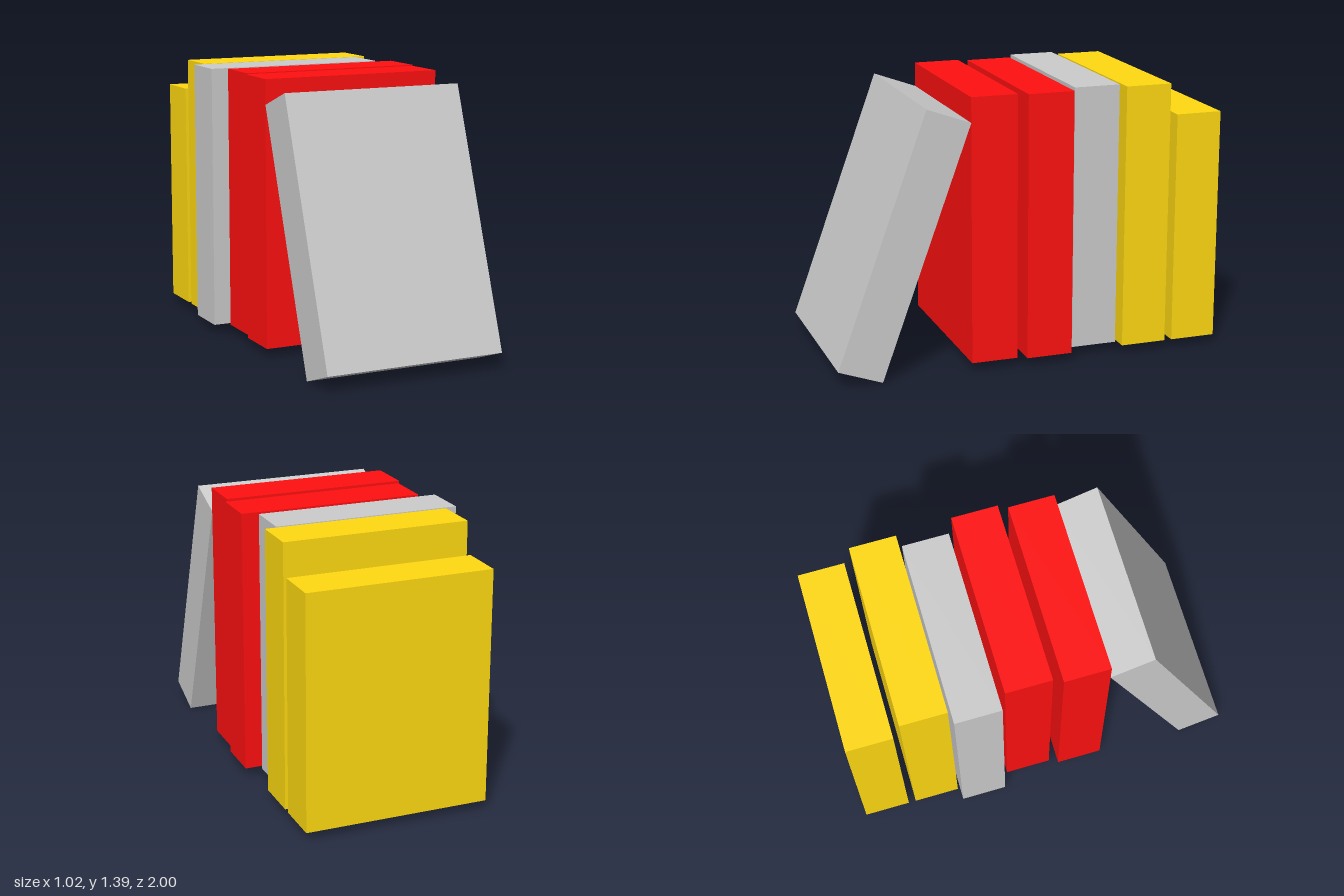
import * as THREE from 'three';

const WIDTH = 0.944, HEIGHT = 1.348, THICK = 0.237, BASE = 0.045;

const grey = new THREE.MeshStandardMaterial({ color: 0xcccccc, flatShading: true });
const red = new THREE.MeshStandardMaterial({ color: 0xff1010, flatShading: true });
const yellow = new THREE.MeshStandardMaterial({ color: 0xffd911, flatShading: true });

function makeBook(name, material, height = HEIGHT) {
  const book = new THREE.Mesh(new THREE.BoxGeometry(WIDTH, height, THICK), material);
  book.name = name;
  return book;
}

export function createModel() {
  const group = new THREE.Group();
  group.name = 'bookRow';

  // Upright books, front to back: name, material, x, z, height
  const upright = [
    ['frontRedBook', red, 0.012, 0.198, HEIGHT],
    ['backRedBook', red, 0.036, -0.085, HEIGHT],
    ['greyBook', grey, -0.041, -0.355, HEIGHT],
    ['tallYellowBook', yellow, 0.021, -0.605, HEIGHT],
    ['shortYellowBook', yellow, 0.021, -0.881, 1.188],
  ];
  for (const [name, material, x, z, height] of upright) {
    const book = makeBook(name, material, height);
    book.position.set(x, BASE + height / 2, z);
    group.add(book);
  }

  // Front book leaning back against the row
  const leaning = makeBook('leaningBook', grey);
  leaning.position.set(0.012, 0.675, 0.658);
  leaning.rotation.x = THREE.MathUtils.degToRad(-20);
  group.add(leaning);

  return group;
}
